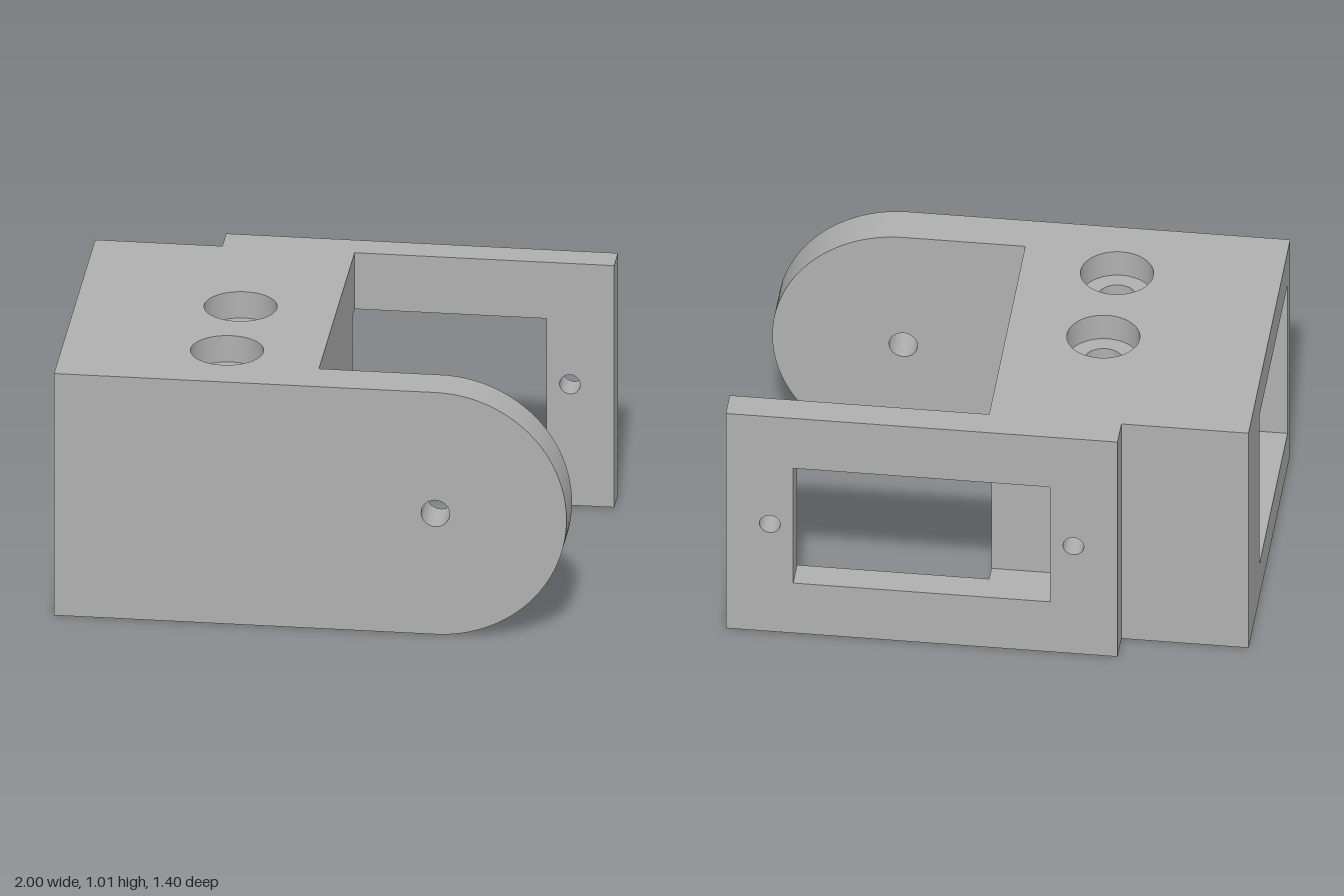
import * as THREE from 'three';
import { toCreasedNormals } from 'three/addons/utils/BufferGeometryUtils.js';

const H = 1.01;                    // overall height
const MID = H / 2;
const SCREWS = [[-0.37, -0.02], [-0.37, 0.4]];   // x, z of the screw bores

const polygon = (points) => new THREE.Shape(points.map(([x, y]) => new THREE.Vector2(x, y)));
const circle = (x, y, r) => new THREE.Path().absarc(x, y, r, 0, Math.PI * 2, false);

// Hexagon with two corners on the z axis
function hexagon(x, y, r) {
  const pts = [];
  for (let i = 0; i < 6; i++) {
    const a = Math.PI / 6 + (i * Math.PI) / 3;
    pts.push(new THREE.Vector2(x + r * Math.cos(a), y + r * Math.sin(a)));
  }
  return new THREE.Path(pts);
}

function extrude(shape, holes, depth) {
  shape.holes.push(...holes);
  return new THREE.ExtrudeGeometry(shape, { depth, bevelEnabled: false, curveSegments: 32 });
}

export function createModel() {
  const grey = new THREE.MeshStandardMaterial({ color: 0xb0b0b0 });
  grey.name = 'grey plastic';
  const model = new THREE.Group();
  model.name = 'servoBracket';
  const body = new THREE.Group();
  body.name = 'body';
  model.add(body);

  const add = (parent, name, geometry) => {
    const mesh = new THREE.Mesh(toCreasedNormals(geometry, 0.5), grey);
    mesh.name = name;
    parent.add(mesh);
  };

  // Horizontal slice of the body: plan shape in x/z between two heights
  const layer = (name, y0, y1, points, holes = []) => {
    const g = extrude(polygon(points), holes, y1 - y0);
    g.rotateX(Math.PI / 2).translate(0, y1, 0);
    add(body, name, g);
  };

  const block = [[-1, -0.58], [0, -0.58], [0, 0.7], [-1, 0.7]];
  // Walls around the cavity, which opens to -x
  const cavity = [[-1, 0.62], [-0.15, 0.62], [-0.15, -0.25], [-1, -0.25]];
  const walls = [...block, ...cavity];
  // The same walls with the shallow recess behind the window
  const recessed = [[-1, -0.58], [-0.25, -0.58], [-0.25, -0.51], [0, -0.51], [0, 0.7], [-1, 0.7], ...cavity];
  const bores = (r) => SCREWS.map(([x, z]) => circle(x, z, r));

  layer('floorWithNutPockets', 0, 0.1, block, SCREWS.map(([x, z]) => hexagon(x, z, 0.15)));
  layer('floorWithBores', 0.1, 0.155, block, bores(0.075));
  layer('lowerWalls', 0.155, 0.235, walls);
  layer('recessedWalls', 0.235, 0.775, recessed);
  layer('upperWalls', 0.775, 0.855, walls);
  layer('roofWithBores', 0.855, 0.9, block, bores(0.075));
  layer('roofWithCounterbores', 0.9, H, block, bores(0.14));

  // Front arm with a rounded end and pivot hole
  const arm = new THREE.Shape();
  arm.moveTo(0, 0);
  arm.lineTo(0.47, 0);
  arm.absarc(0.47, MID, MID, -Math.PI / 2, Math.PI / 2, false);
  arm.lineTo(0, H);
  add(model, 'frontArm', extrude(arm, [circle(0.47, MID, 0.055)], 0.17).translate(0, 0, 0.53));

  // Back plate with a rectangular window and two screw holes
  const plate = polygon([[-0.51, 0], [1, 0], [1, H], [-0.51, H]]);
  const windowHole = new THREE.Path([[-0.25, 0.235], [0.74, 0.235], [0.74, 0.775], [-0.25, 0.775]]
    .map(([x, y]) => new THREE.Vector2(x, y)));
  const holes = [windowHole, circle(-0.34, MID, 0.04), circle(0.83, MID, 0.04)];
  add(model, 'backPlate', extrude(plate, holes, 0.12).translate(0, 0, -0.7));

  return model;
}
